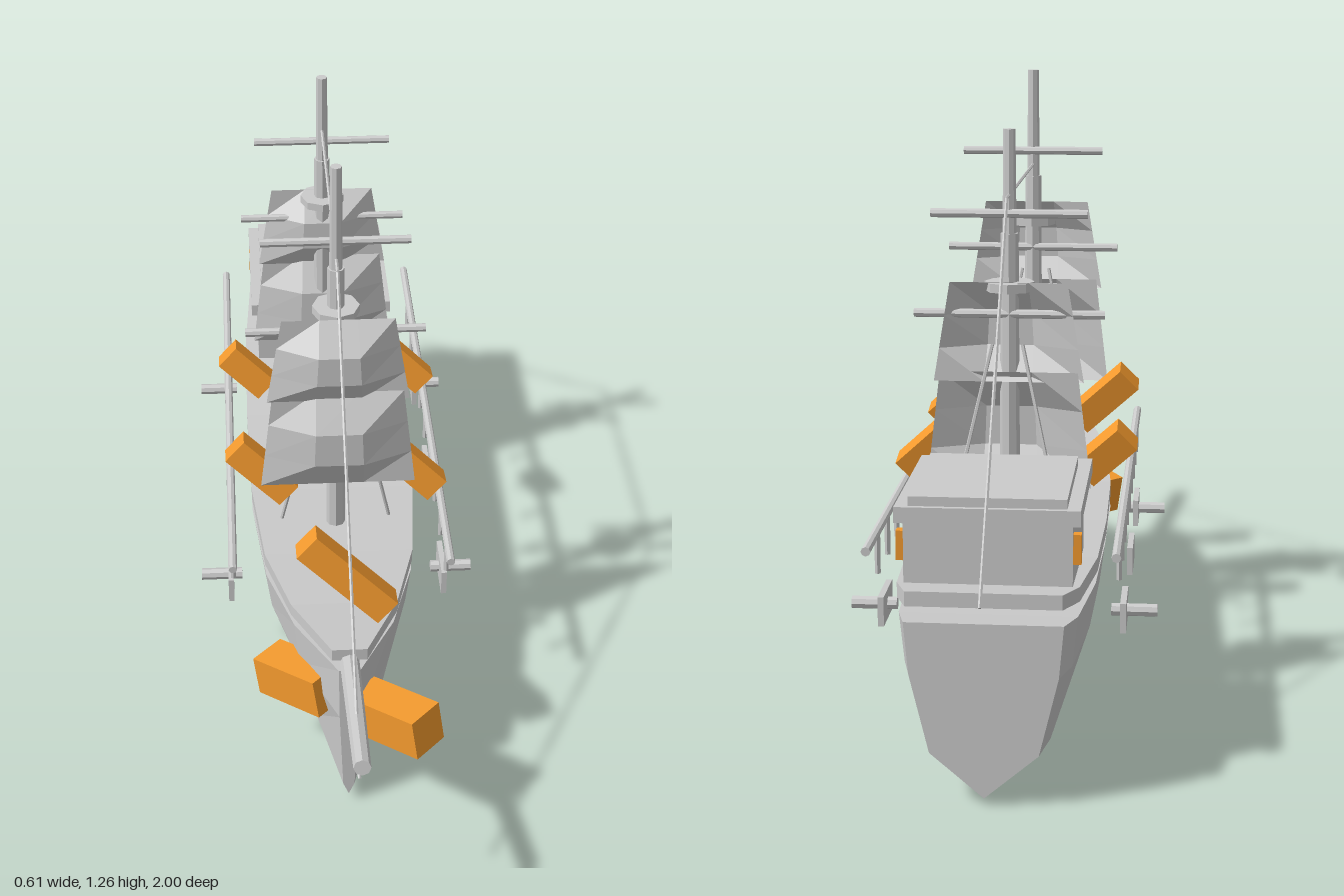
import * as THREE from 'three';

const grey = new THREE.MeshStandardMaterial({ color: 0xcccccc, flatShading: true });
const cloth = new THREE.MeshStandardMaterial({ color: 0xcccccc, flatShading: true, side: THREE.DoubleSide });
const orange = new THREE.MeshStandardMaterial({ color: 0xf39a2e, flatShading: true });

export function createModel() {
  const ship = new THREE.Group();
  ship.name = 'sailingShip';

  const add = (name, geometry, x = 0, y = 0, z = 0, material = grey) => {
    const mesh = new THREE.Mesh(geometry, material);
    mesh.name = name;
    mesh.position.set(x, y, z);
    ship.add(mesh);
    return mesh;
  };
  const box = (name, w, h, d, x, y, z, material) => add(name, new THREE.BoxGeometry(w, h, d), x, y, z, material);

  // Round bar between two points
  const bar = (name, a, b, r0, r1 = r0, sides = 8) => {
    const p = new THREE.Vector3(...a), q = new THREE.Vector3(...b);
    const dir = q.clone().sub(p);
    const mesh = add(name, new THREE.CylinderGeometry(r1, r0, dir.length(), sides));
    mesh.position.copy(p).add(q).multiplyScalar(0.5);
    mesh.quaternion.setFromUnitVectors(new THREE.Vector3(0, 1, 0), dir.normalize());
    return mesh;
  };

  // Closed loft through rings listed from bow to stern
  const loft = (rings) => {
    const n = rings[0].length, pos = [], index = [];
    rings.forEach((ring) => ring.forEach((p) => pos.push(...p)));
    for (let i = 0; i < rings.length - 1; i++) {
      for (let j = 0; j < n; j++) {
        const k = (j + 1) % n, a = i * n, b = a + n;
        index.push(a + j, b + j, b + k, a + j, b + k, a + k);
      }
    }
    const end = (rings.length - 1) * n;
    for (let j = 1; j < n - 1; j++) index.push(0, j, j + 1, end, end + j + 1, end + j);
    const g = new THREE.BufferGeometry();
    g.setAttribute('position', new THREE.Float32BufferAttribute(pos, 3));
    g.setIndex(index);
    const flat = g.toNonIndexed();
    flat.computeVertexNormals();
    return flat;
  };

  // Hull: z, top half-width, top y, chine half-width, chine y, keel y
  const hullStations = [
    [0.63, 0.022, 0.375, 0.012, 0.05, 0.02],
    [0.45, 0.105, 0.342, 0.06, 0.08, 0.012],
    [0.25, 0.16, 0.316, 0.105, 0.095, 0.006],
    [0, 0.185, 0.302, 0.13, 0.1, 0],
    [-0.3, 0.187, 0.303, 0.132, 0.1, 0],
    [-0.6, 0.183, 0.316, 0.13, 0.1, 0.005],
    [-0.86, 0.165, 0.338, 0.115, 0.1, 0.01],
    [-0.945, 0.145, 0.348, 0.1, 0.1, 0.015],
  ];
  add('hull', loft(hullStations.map(([z, w, top, cw, cy, keel]) => {
    const mw = cw + (w - cw) * 0.8, my = cy + (top - cy) * 0.6;
    return [[0, keel, z], [cw, cy, z], [mw, my, z], [w, top, z],
      [-w, top, z], [-mw, my, z], [-cw, cy, z]];
  })));

  // Deck slab following the sheer: z, half-width, top y
  const deckStations = [
    [0.63, 0.036, 0.432], [0.45, 0.112, 0.4], [0.25, 0.162, 0.373], [0, 0.185, 0.358],
    [-0.3, 0.19, 0.357], [-0.6, 0.187, 0.37], [-0.86, 0.168, 0.395], [-0.945, 0.142, 0.406],
  ];
  add('deck', loft(deckStations.map(([z, w, y]) =>
    [[-w, y - 0.028, z], [w, y - 0.028, z], [w, y, z], [-w, y, z]])));

  bar('bowsprit', [0, 0.355, 0.42], [0, 0.473, 0.998], 0.022, 0.017);

  // Cabin with a stepped roof
  box('cabin', 0.31, 0.16, 0.335, 0, 0.44, -0.697);
  box('cabinRoof', 0.34, 0.03, 0.375, 0, 0.527, -0.69);
  box('cabinRoofTop', 0.29, 0.018, 0.315, 0, 0.551, -0.71);

  // Bulging sail panel between two heights
  const sailPanel = (y0, y1, w0, w1, z) => {
    const g = new THREE.PlaneGeometry(2, 1, 3, 3);
    const p = g.attributes.position;
    for (let i = 0; i < p.count; i++) {
      const u = p.getX(i), t = 0.5 - p.getY(i);
      const billow = Math.min(1, 1.5 * (1 - Math.abs(u))) * Math.min(1, 3 * t, 3 * (1 - t));
      p.setXYZ(i, u * (w0 + (w1 - w0) * t), y0 + (y1 - y0) * t, z + 0.045 * billow);
    }
    g.computeVertexNormals();
    add('sail', g, 0, 0, 0, cloth);
  };

  // Masts with yards, lookout platform, sails and shrouds
  const masts = [
    { z: 0.13, step: 1.03, top: 1.265, platform: 0.93, yards: [[1.087, 0.155], [0.87, 0.19]],
      sailZ: 0.22, sailTop: 0.96, shroud: [0.81, 0.19, 0.37, 0.118] },
    { z: -0.435, step: 0.98, top: 1.185, platform: 0.875, yards: [[1.02, 0.155], [0.82, 0.19]],
      sailZ: -0.46, sailTop: 0.885, shroud: [0.766, -0.485, 0.37, -0.555] },
  ];
  for (const m of masts) {
    bar('lowerMast', [0, 0.345, m.z], [0, m.step, m.z], 0.021, 0.018);
    bar('topMast', [0, m.step, m.z], [0, m.top, m.z], 0.014, 0.012);
    add('lookoutPlatform', new THREE.CylinderGeometry(0.05, 0.05, 0.018, 8), 0, m.platform, m.z);
    for (const [y, half] of m.yards) bar('yard', [-half, y, m.z - 0.01], [half, y, m.z - 0.01], 0.009);
    sailPanel(m.sailTop, m.sailTop - 0.2, 0.117, 0.15, m.sailZ);
    sailPanel(m.sailTop - 0.18, m.sailTop - 0.418, 0.138, 0.166, m.sailZ);
    const [y0, z0, y1, z1] = m.shroud;
    for (const s of [-1, 1]) bar('shroud', [s * 0.03, y0, z0], [s * 0.12, y1, z1], 0.004, 0.004, 5);
  }

  // Stay rope from bow over both masts to stern
  const stay = [[0, 0.375, 0.93], [0, 1.056, 0.19], [0, 1.056, -0.49], [0, 0.396, -0.998]];
  for (let i = 0; i < 3; i++) bar('stayRope', stay[i], stay[i + 1], 0.0035, 0.0035, 5);

  // Railings, gun ports, cannons and cabin lamps on both sides
  for (const s of [-1, 1]) {
    bar('rail', [s * 0.232, 0.438, 0.375], [s * 0.232, 0.438, -0.82], 0.009);
    for (let i = 0; i < 9; i++) {
      const z = 0.297 - i * 0.1225;
      bar('railPost', [s * 0.232, 0.353, z], [s * 0.232, 0.438, z], 0.006, 0.006, 6);
    }
    for (const z of [0.17, -0.197, -0.565]) box('gunPort', 0.012, 0.06, 0.113, s * 0.238, 0.253, z);
    for (const z of [0.165, -0.565]) bar('cannon', [s * 0.213, 0.253, z], [s * 0.304, 0.253, z], 0.013);
    box('cabinLamp', 0.02, 0.056, 0.02, s * 0.16, 0.463, -0.845, orange);
  }

  // Tilted orange blocks over the deck: length, x, y, z
  const blocks = [
    [0.225, 0, 0.542, 0.525],
    [0.16, -0.163, 0.522, 0.133], [0.16, 0.163, 0.522, 0.133],
    [0.125, -0.187, 0.5, -0.288], [0.125, 0.187, 0.5, -0.288],
  ];
  for (const [length, x, y, z] of blocks) {
    box('deckBlock', length, 0.06, 0.06, x, y, z, orange).rotation.set(-0.2, 0, -0.76);
  }
  // Orange blocks beside the bow
  for (const [x, y, z] of [[0.093, 0.27, 0.662], [-0.098, 0.222, 0.482]]) {
    box('bowBlock', 0.175, 0.088, 0.085, x, y, z, orange).rotation.set(0, -0.78, 0.2);
  }

  return ship;
}
